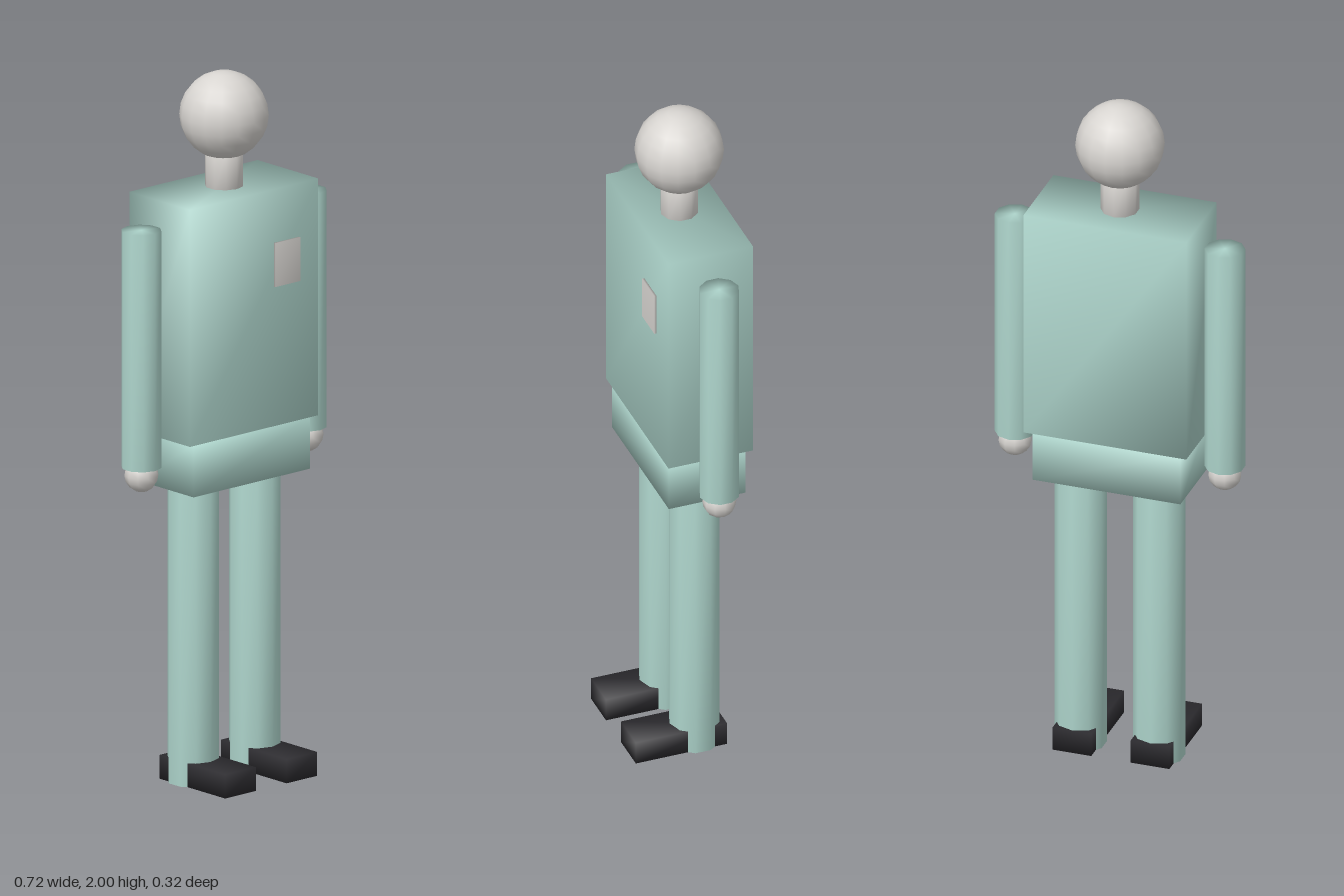
import * as THREE from 'three';
import { mergeVertices } from 'three/addons/utils/BufferGeometryUtils.js';

const material = (name, color) => {
  const m = new THREE.MeshStandardMaterial({ color });
  m.name = name;
  return m;
};

// Weld every corner so the normals run smoothly over the edges
function soften(geometry) {
  geometry.deleteAttribute('normal');
  geometry.deleteAttribute('uv');
  const welded = mergeVertices(geometry, 1e-4);
  welded.computeVertexNormals();
  return welded;
}

export function createModel() {
  const model = new THREE.Group();
  model.name = 'figure';
  const cloth = material('pale teal cloth', 0xafd6cd);
  const skin = material('pale grey', 0xd8d5d1);
  const leather = material('black shoe', 0x2c2b2f);
  const axisZ = -0.035; // depth of the body's centre line

  const add = (name, geometry, mat, x, y, z) => {
    const mesh = new THREE.Mesh(soften(geometry), mat);
    mesh.name = name;
    mesh.position.set(x, y, z);
    model.add(mesh);
  };
  const box = (w, h, d) => new THREE.BoxGeometry(w, h, d);
  const rod = (r, h, sides = 10) => new THREE.CylinderGeometry(r, r, h, sides);

  // Head and neck
  add('head', new THREE.SphereGeometry(0.123, 16, 12), skin, 0, 1.877, axisZ);
  add('neck', rod(0.053, 0.12), skin, 0, 1.725, axisZ);

  // Trunk
  add('torso', box(0.474, 0.675, 0.248), cloth, 0, 1.3375, -0.036);
  add('hips', box(0.43, 0.15, 0.225), cloth, 0, 0.925, -0.034);
  add('chestBadge', box(0.092, 0.125, 0.006), skin, 0.114, 1.4625, 0.097);

  // Limbs, mirrored
  for (const [side, s] of [['left', 1], ['right', -1]]) {
    add(side + 'Arm', rod(0.056, 0.675), cloth, s * 0.305, 1.2675, axisZ);
    add(side + 'Hand', new THREE.SphereGeometry(0.047, 10, 8), skin, s * 0.305, 0.907, axisZ);
    add(side + 'Leg', rod(0.072, 0.85), cloth, s * 0.114, 0.425, axisZ);
    add(side + 'Shoe', box(0.113, 0.068, 0.268), leather, s * 0.1135, 0.034, 0.024);
  }
  return model;
}
